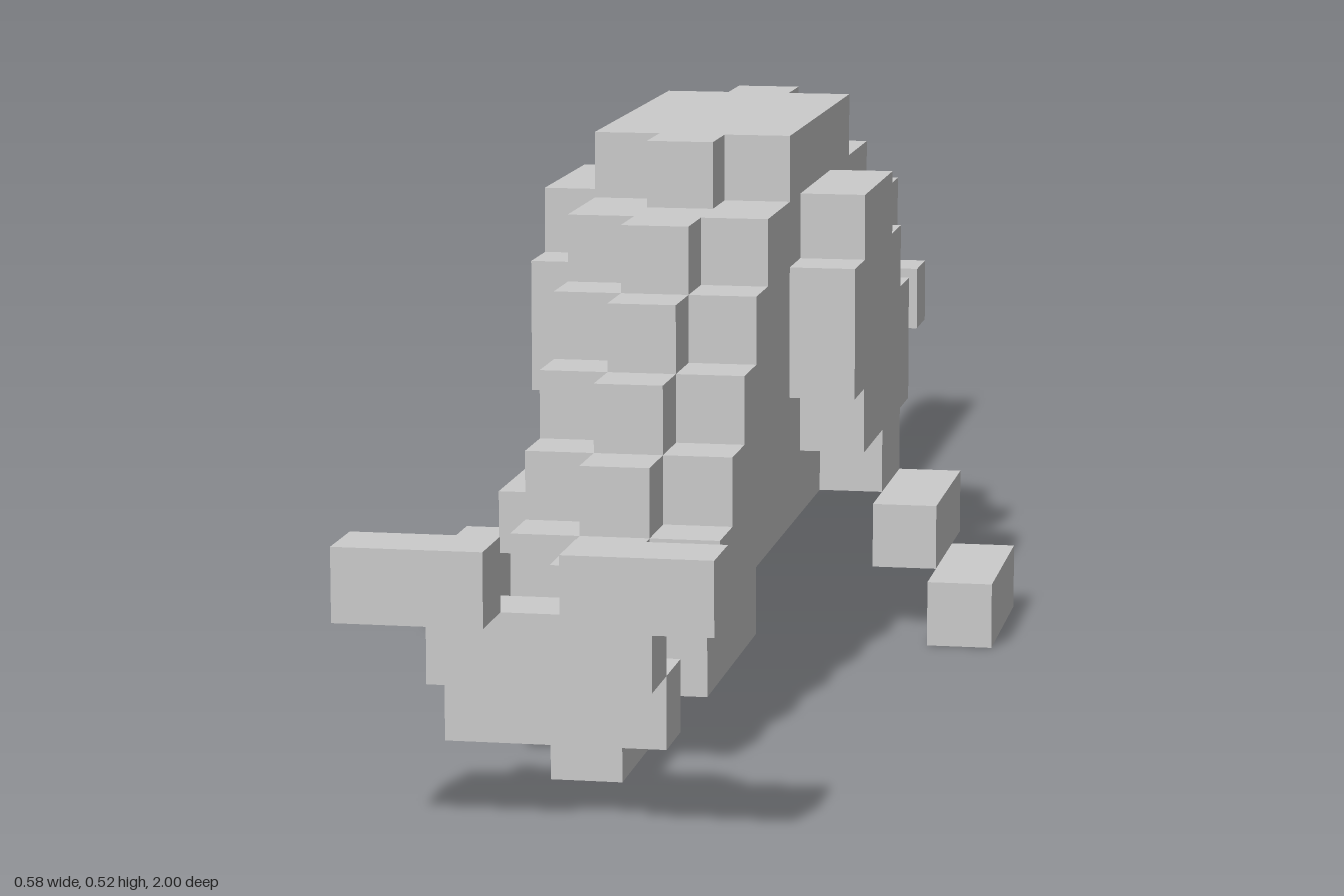
import * as THREE from 'three';

const U = 2 / 31; // one block
const material = new THREE.MeshStandardMaterial({ color: 0xcccccc, flatShading: true });

// Box between block coordinates; y0 is the layer number, one block high
function block(parent, name, x0, x1, row, z0, z1) {
  const mesh = new THREE.Mesh(new THREE.BoxGeometry((x1 - x0) * U, U, (z1 - z0) * U), material);
  mesh.position.set((x0 + x1) / 2 * U, (row + 0.5) * U, (z0 + z1) / 2 * U);
  mesh.name = name;
  parent.add(mesh);
}

function part(parent, name) {
  const group = new THREE.Group();
  group.name = name;
  parent.add(group);
  return group;
}

export function createModel() {
  const model = new THREE.Group();
  model.name = 'blockCreature';

  // Body layers: row, wide back, wide front, ridge back, ridge front
  const body = part(model, 'body');
  const layers = [
    [1, 6.5, 10.5, 5.5, 12.5],
    [2, -2.5, 9.5, -3.5, 11.5],
    [3, -4.5, 8.5, -5.5, 9.5],
    [4, -5.5, 7.5, -5.5, 8.5],
    [5, -5.5, 6.5, -5.5, 7.5],
    [6, -4.5, 5.5, -4.5, 6.5],
    [7, -2.5, 3.5, -3.5, 4.5],
  ];
  for (const [row, back, front, ridgeBack, ridgeFront] of layers) {
    block(body, 'bodyLayer', -1.5, 1.5, row, back, front);
    if (ridgeBack < back) block(body, 'rearRidge', -0.5, 0.5, row, ridgeBack, back);
    if (ridgeFront > front) block(body, 'frontRidge', -0.5, 0.5, row, front, ridgeFront);
  }

  // Chin and tail along the centre line
  block(model, 'chin', -0.5, 0.5, 0, 9.5, 11.5);
  block(model, 'tail', -0.5, 0.5, 4, -15.5, -5.5);

  // Snout tip rising into a fork
  const snout = part(model, 'snoutFork');
  block(snout, 'forkBase', -1.5, 1.5, 1, 12.5, 13.5);
  block(snout, 'forkBridge', -1.5, 1.5, 2, 13.5, 14.5);

  // Mirrored side parts: flank rows as row, back, front
  const flankRows = [[2, -1.5, 0.5], [3, -2.5, 2.5], [4, -2.5, 3.5], [5, -1.5, 3.5], [6, -0.5, 2.5]];
  for (const side of [1, -1]) {
    const group = part(model, side > 0 ? 'leftSide' : 'rightSide');
    const add = (name, inner, outer, row, z0, z1) =>
      block(group, name, Math.min(side * inner, side * outer), Math.max(side * inner, side * outer), row, z0, z1);
    for (const [row, back, front] of flankRows) add('flank', 1.5, 2.5, row, back, front);
    add('rearKnob', 1.5, 2.5, 4, -4.5, -3.5);
    add('leg', 2.5, 3.5, 1, -1.5, 1.5);
    add('foot', 3.5, 4.5, 0, -0.5, 2.5);
    add('forkTip', 0.5, 2.5, 3, 14.5, 15.5);
  }
  return model;
}
